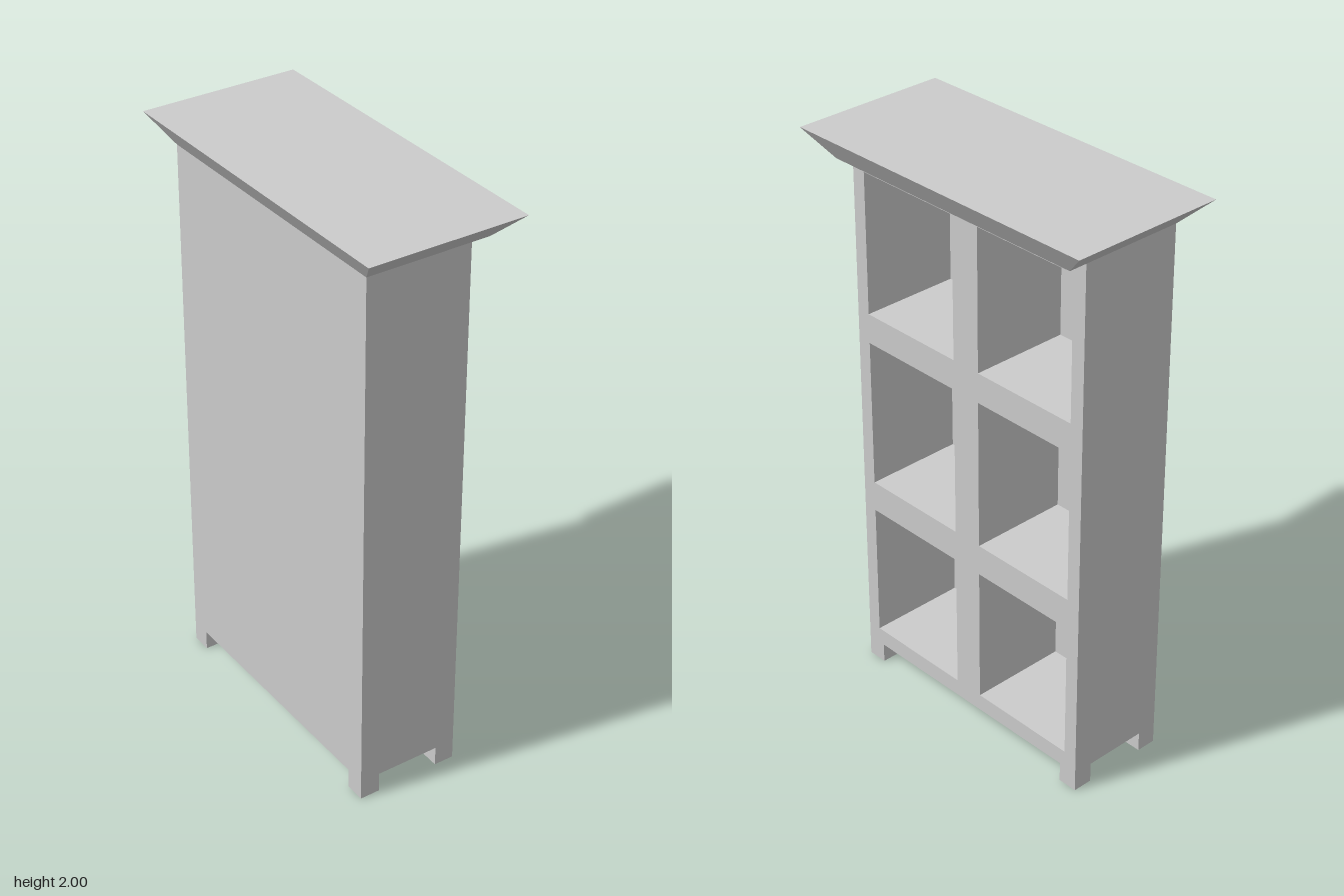
import * as THREE from 'three';

const BACK = -0.215, FRONT = 0.15, HALF_W = 0.505, BASE = 0.07, TOP = 1.91, TOTAL = 2;
const BACK_PANEL = 0.015, LEG = 0.07;

export function createModel() {
  const model = new THREE.Group();
  const material = new THREE.MeshStandardMaterial({ color: 0xcccccc, flatShading: true });

  const add = (name, geometry, x = 0, y = 0, z = 0) => {
    const mesh = new THREE.Mesh(geometry, material);
    mesh.name = name;
    mesh.position.set(x, y, z);
    model.add(mesh);
    return mesh;
  };

  const rectangle = (Type, x0, x1, y0, y1) => {
    const path = new Type();
    path.moveTo(x0, y0);
    path.lineTo(x1, y0);
    path.lineTo(x1, y1);
    path.lineTo(x0, y1);
    path.closePath();
    return path;
  };

  // Carcass with six compartments opening towards +x
  const outline = rectangle(THREE.Shape, -HALF_W, HALF_W, BASE, TOP);
  for (const [y0, y1] of [[0.13, 0.62], [0.73, 1.26], [1.365, 1.86]]) {
    outline.holes.push(rectangle(THREE.Path, -0.455, -0.055, y0, y1));
    outline.holes.push(rectangle(THREE.Path, 0.055, 0.455, y0, y1));
  }
  const depth = FRONT - BACK - BACK_PANEL;
  const carcass = new THREE.ExtrudeGeometry(outline, { depth, bevelEnabled: false });
  carcass.rotateY(Math.PI / 2);
  add('shelfCarcass', carcass, BACK + BACK_PANEL);

  // Thin panel closing the back
  const panel = new THREE.BoxGeometry(BACK_PANEL, TOP - BASE, HALF_W * 2);
  add('backPanel', panel, BACK + BACK_PANEL / 2, (TOP + BASE) / 2);

  // Four square feet, flush with the corners
  for (const x of [BACK + LEG / 2, FRONT - LEG / 2]) {
    for (const side of [-1, 1]) {
      add('foot', new THREE.BoxGeometry(LEG, BASE, LEG), x, BASE / 2, side * (HALF_W - LEG / 2));
    }
  }

  // Cornice: a box flaring outwards to its top edge
  const cornice = new THREE.BoxGeometry(0.55, TOTAL - TOP, 1.2);
  const p = cornice.attributes.position;
  for (let i = 0; i < p.count; i++) {
    if (p.getY(i) < 0) {
      p.setX(i, Math.sign(p.getX(i)) * 0.215);
      p.setZ(i, Math.sign(p.getZ(i)) * HALF_W);
    }
  }
  cornice.computeVertexNormals();
  add('cornice', cornice, 0, (TOP + TOTAL) / 2);

  return model;
}
